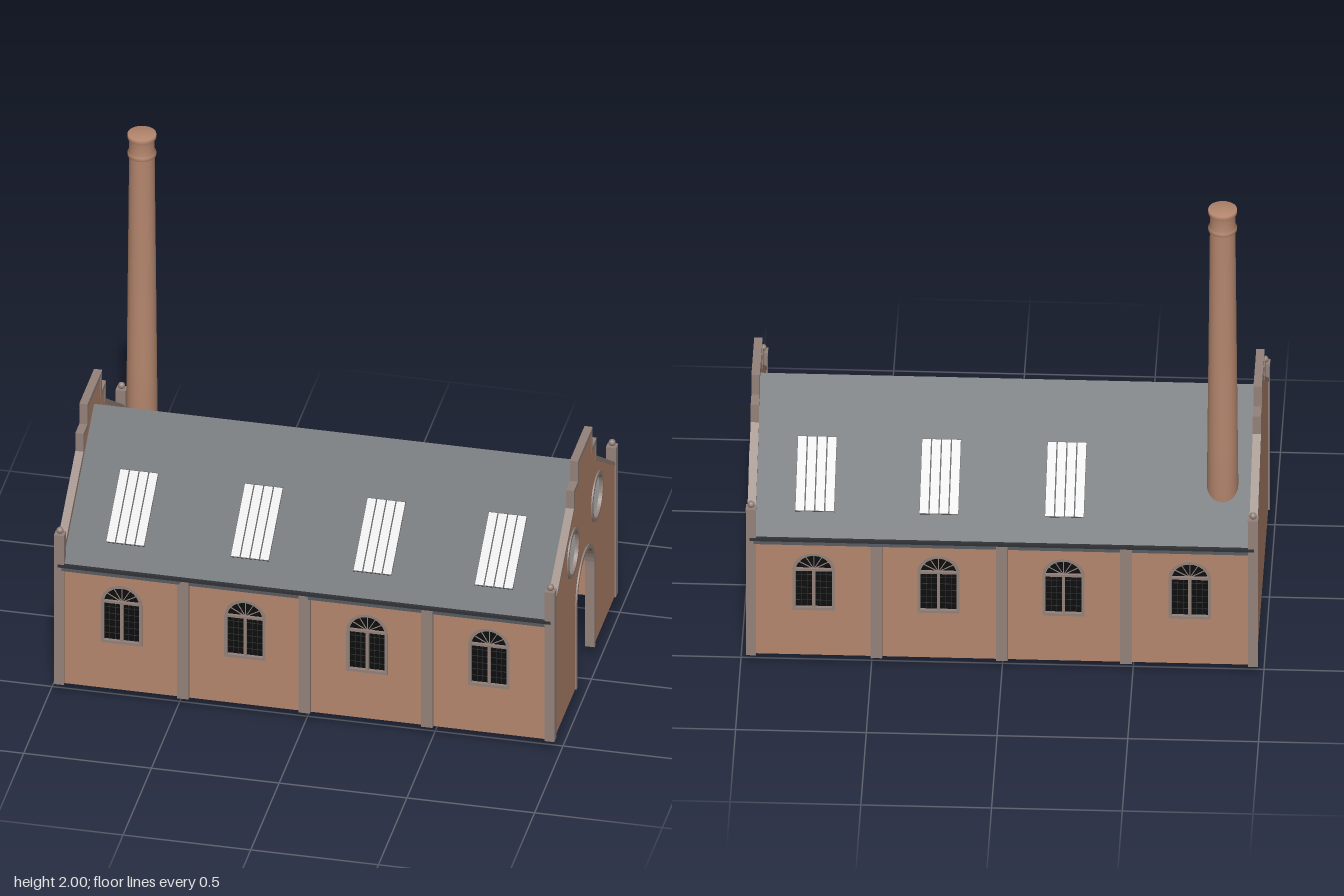
import * as THREE from 'three';

const mat = (name, color, opts = {}) => {
  const m = new THREE.MeshStandardMaterial({ color, ...opts });
  m.name = name;
  return m;
};

export function createModel() {
  const root = new THREE.Group();
  root.name = 'engineHouse';
  const brick = mat('brick', 0xb4866d), stone = mat('stone', 0x93827a), slate = mat('slate', 0x575c61),
    skyGlass = mat('skylightGlass', 0xdcdcdc), roundGlass = mat('roundGlass', 0xc9c9c9),
    black = mat('black', 0x0d0d0d), iron = mat('iron', 0x5c6064), steel = mat('steel', 0xb9b9b4),
    red = mat('red', 0xb3101a), timber = mat('darkTimber', 0x303236);

  const add = (parent, name, geo, m, x = 0, y = 0, z = 0) => {
    const mesh = new THREE.Mesh(geo, m);
    mesh.name = name;
    mesh.position.set(x, y, z);
    parent.add(mesh);
    return mesh;
  };
  const box = (p, name, m, w, h, d, x, y, z) => add(p, name, new THREE.BoxGeometry(w, h, d), m, x, y, z);
  const group = (p, name, x = 0, y = 0, z = 0) => {
    const g = new THREE.Group();
    g.name = name;
    g.position.set(x, y, z);
    p.add(g);
    return g;
  };
  const poly = pts => new THREE.Shape(pts.map(([a, b]) => new THREE.Vector2(a, b)));
  // extrusion centred on its depth
  const slab = (shape, d, seg = 16) =>
    new THREE.ExtrudeGeometry(shape, { depth: d, bevelEnabled: false, curveSegments: seg }).translate(0, 0, -d / 2);
  // the same, with the drawing plane turned to z and y
  const sideSlab = (shape, d, seg) => slab(shape, d, seg).rotateY(-Math.PI / 2);
  // round-headed opening
  const arch = (r, bottom, spring, cx = 0, Type = THREE.Shape) => {
    const s = new Type();
    s.moveTo(cx - r, bottom);
    s.lineTo(cx + r, bottom);
    s.lineTo(cx + r, spring);
    s.absarc(cx, spring, r, 0, Math.PI, false);
    s.closePath();
    return s;
  };
  const circle = (r, cx, cy, Type = THREE.Path) => new Type().absarc(cx, cy, r, 0, Math.PI * 2, false);

  // long walls with windows and pilasters
  const windowX = [-0.718, -0.235, 0.243, 0.72];
  const frameShape = arch(0.081, 0.255, 0.435);
  frameShape.holes.push(arch(0.069, 0.267, 0.435, 0, THREE.Path));
  const frameGeo = slab(frameShape, 0.036), paneGeo = slab(arch(0.072, 0.262, 0.435), 0.008);
  const addWindow = (p, x) => {
    const w = group(p, 'archedWindow', x, 0, 0.53);
    add(w, 'windowFrame', frameGeo, stone);
    add(w, 'windowPane', paneGeo, black);
    box(w, 'transom', stone, 0.14, 0.01, 0.03, 0, 0.437, 0);
    box(w, 'mullion', stone, 0.012, 0.175, 0.03, 0, 0.35, 0);
    add(w, 'fanArc', new THREE.TorusGeometry(0.036, 0.0018, 4, 14, Math.PI), stone, 0, 0.437, 0);
    for (let i = 1; i < 6; i++) {
      const a = i * Math.PI / 6;
      const bar = box(w, 'fanBar', stone, 0.066, 0.003, 0.014, Math.cos(a) * 0.036, 0.437 + Math.sin(a) * 0.036, 0);
      bar.rotation.z = a;
    }
    for (const s of [-1, 1]) for (const k of [0.026, 0.048])
      box(w, 'glazingBar', timber, 0.0018, 0.165, 0.012, s * k, 0.35, 0);
    for (let i = 1; i < 6; i++) box(w, 'glazingBar', timber, 0.136, 0.0018, 0.011, 0, 0.265 + i * 0.029, 0);
  };
  for (const s of [1, -1]) {
    const side = group(root, s > 0 ? 'frontWall' : 'backWall');
    const wallShape = poly([[-0.95, 0.05], [0.95, 0.05], [0.95, 0.59], [-0.95, 0.59]]);
    for (const x of windowX) wallShape.holes.push(arch(0.08, 0.256, 0.435, x * s, THREE.Path));
    add(side, 'brickWall', slab(wallShape, 0.03), brick, 0, 0, 0.53);
    windowX.forEach(x => addWindow(side, x * s));
    for (const x of [-0.475, 0, 0.48]) box(side, 'pilaster', stone, 0.045, 0.53, 0.055, x * s, 0.315, 0.5325);
    box(side, 'gutter', timber, 1.93, 0.012, 0.02, 0, 0.582, 0.553);
    if (s < 0) side.rotation.y = Math.PI;
  }

  // stepped gable walls, with copings and corner posts
  const half = [[0.54, 0.645], [0.2, 0.88], [0.2, 0.96], [0.13, 0.96], [0.13, 1.05]];
  const inner = [[0.54, 0.63], [0.18, 0.872], [0.18, 0.94], [0.11, 0.94], [0.11, 1.03]];
  const across = pts => [...pts, ...pts.map(([a, b]) => [-a, b]).reverse()];
  for (const s of [1, -1]) {
    const gable = group(root, s > 0 ? 'entranceGable' : 'plainGable', s * 0.96);
    const shape = poly([[-0.54, 0.05], [0.54, 0.05], ...across(inner)]);
    if (s > 0) {
      // doorway is cut into the bottom edge
      const r = 0.155, door = [];
      for (let i = 0; i <= 20; i++) {
        const a = Math.PI * (1 - i / 20);
        door.push([Math.cos(a) * r, 0.41 + Math.sin(a) * r]);
      }
      const outline = poly([[-0.54, 0.05], [-r, 0.05], ...door, [r, 0.05], [0.54, 0.05], ...across(inner)]);
      const ring = arch(0.167, 0.05, 0.41);
      const trim = poly([[-0.167, 0.05], [-0.15, 0.05],
        ...door.map(([a, b]) => [a * 0.968, 0.41 + (b - 0.41) * 0.968]), [0.15, 0.05],
        ...ring.getPoints(20).slice(1, -1)]);
      add(gable, 'doorSurround', sideSlab(trim, 0.038), stone);
      for (const c of [-0.212, 0.212]) {
        outline.holes.push(circle(0.09, c, 0.69));
        const rim = circle(0.1, c, 0.69, THREE.Shape);
        rim.holes.push(circle(0.084, c, 0.69));
        add(gable, 'roundWindowRim', sideSlab(rim, 0.038, 24), stone);
        add(gable, 'roundWindowPane', sideSlab(circle(0.09, c, 0.69, THREE.Shape), 0.009, 24), roundGlass);
      }
      add(gable, 'gableWall', sideSlab(outline, 0.026), brick);
    } else {
      add(gable, 'gableWall', sideSlab(shape, 0.026), brick);
    }
    const coping = poly([...across(half), ...across(inner).reverse()]);
    add(gable, 'coping', sideSlab(coping, 0.032), stone);
    for (const z of [-0.542, 0.542]) {
      box(gable, 'cornerPost', stone, 0.038, 0.66, 0.036, 0, 0.38, z);
      box(gable, 'postCap', stone, 0.04, 0.01, 0.038, 0, 0.713, z);
      add(gable, 'postBall', new THREE.SphereGeometry(0.014, 12, 8), stone, 0, 0.731, z);
    }
  }

  // pitched roof with rafters
  const tilt = Math.atan2(0.395, 0.56), roof = group(root, 'roof');
  const chevron = (top, t, w) => poly([[w, top - w * 0.705], [0, top], [-w, top - w * 0.705],
    [-w, top - t - w * 0.705], [0, top - t], [w, top - t - w * 0.705]]);
  add(roof, 'slateRoof', sideSlab(chevron(0.975, 0.02, 0.56), 1.9), slate);
  const rafterGeo = sideSlab(chevron(0.956, 0.035, 0.515), 0.02);
  for (let i = 0; i < 9; i++) add(roof, 'rafter', rafterGeo, timber, -0.88 + i * 0.22, 0, 0);

  // skylights, skipping the bay taken by the chimney
  const addSkylight = (x, s) => {
    const g = group(roof, 'skylight', x, 0.975 - 0.705 * 0.335, s * 0.335);
    g.rotation.x = s * tilt;
    box(g, 'skylightFrame', timber, 0.15, 0.021, 0.31, 0, -0.008, 0);
    for (let i = 0; i < 4; i++) box(g, 'skylightPane', skyGlass, 0.033, 0.025, 0.304, (i - 1.5) * 0.038, -0.008, 0);
  };
  for (const x of [-0.723, -0.235, 0.245, 0.72]) {
    addSkylight(x, 1);
    if (x > -0.5) addSkylight(x, -1);
  }

  // chimney over the boiler
  const stack = [[0, 0.44], [0.063, 0.44], [0.058, 0.97], [0.049, 1.9], [0.055, 1.905], [0.055, 1.92],
    [0.049, 1.925], [0.049, 1.975], [0.055, 1.982], [0.055, 2], [0, 2]];
  add(root, 'chimney', new THREE.LatheGeometry(stack.map(([r, y]) => new THREE.Vector2(r, y)), 28), brick, -0.835, 0, -0.338);
  add(root, 'boiler', new THREE.CylinderGeometry(0.14, 0.14, 0.38, 28), steel, -0.8, 0.25, -0.338);
  add(root, 'boilerBase', new THREE.CylinderGeometry(0.142, 0.142, 0.01, 28), iron, -0.8, 0.055, -0.338);

  // steam engine
  const engine = group(root, 'steamEngine');
  const rod = (name, m, r, a, b) => {
    const p = new THREE.Vector3(...a), q = new THREE.Vector3(...b);
    const mesh = add(engine, name, new THREE.CylinderGeometry(r, r, p.distanceTo(q), 10), m);
    mesh.position.copy(p).lerp(q, 0.5);
    mesh.quaternion.setFromUnitVectors(new THREE.Vector3(0, 1, 0), q.sub(p).normalize());
  };
  // spoked wheel in its own x-y plane
  const wheel = (name, r, tube, x, y, z) => {
    const g = group(engine, name, x, y, z);
    add(g, 'rim', new THREE.TorusGeometry(r, tube, 8, 32), red);
    add(g, 'hub', new THREE.CylinderGeometry(r * 0.14, r * 0.14, 0.024, 12).rotateX(Math.PI / 2), red);
    for (let i = 0; i < 3; i++) box(g, 'spoke', red, r * 2, 0.004, 0.005, 0, 0, 0).rotation.z = i * Math.PI / 3 + 0.5;
    return g;
  };
  wheel('flywheel', 0.094, 0.006, -0.678, 0.1, 0.067).rotation.y = Math.PI / 2;
  wheel('governorWheel', 0.068, 0.004, -0.74, 0.29, 0.118).rotation.y = 0.3;
  for (let i = 0; i < 5; i++) box(engine, 'bedBar', black, 0.012, 0.015, 0.26, -0.86 + i * 0.035, 0.06, -0.03);
  for (const z of [-0.14, 0.07]) box(engine, 'bedRail', iron, 0.2, 0.02, 0.02, -0.79, 0.075, z);
  box(engine, 'tank', black, 0.06, 0.14, 0.22, -0.87, 0.19, -0.04);
  rod('crankShaft', steel, 0.008, [-0.88, 0.1, 0.067], [-0.66, 0.1, 0.067]);
  rod('engineCylinder', iron, 0.034, [-0.77, 0.15, -0.13], [-0.77, 0.17, -0.04]);
  rod('pistonRod', steel, 0.007, [-0.77, 0.17, -0.04], [-0.74, 0.11, 0.06]);
  box(engine, 'crossBeam', iron, 0.03, 0.022, 0.21, -0.77, 0.295, 0);
  for (const z of [-0.08, 0.02]) rod('column', iron, 0.009, [-0.77, 0.07, z], [-0.77, 0.29, z]);
  rod('valveRod', steel, 0.005, [-0.74, 0.1, 0.05], [-0.74, 0.26, 0]);
  rod('steamPipe', steel, 0.012, [-0.79, 0.24, -0.08], [-0.8, 0.24, -0.25]);
  return root;
}
